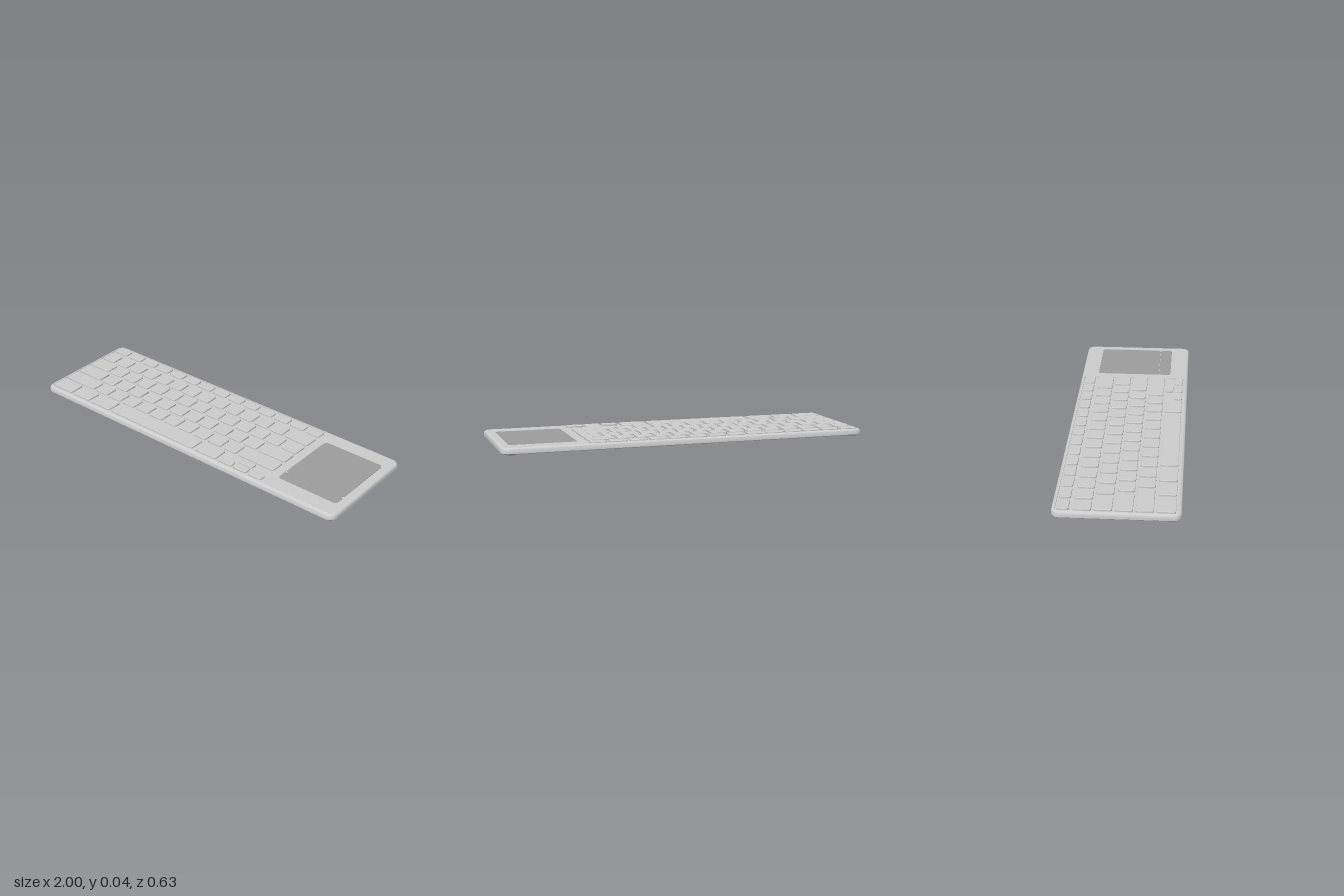
import * as THREE from 'three';
import { toCreasedNormals } from 'three/addons/utils/BufferGeometryUtils.js';

const grey = new THREE.MeshStandardMaterial({ color: 0xcccccc });
const padGrey = new THREE.MeshStandardMaterial({ color: 0x9c9c9c });
const footGrey = new THREE.MeshStandardMaterial({ color: 0x777777 });

const TOP = 0.038, BOTTOM = 0.006;

// Outline of a rounded rectangle, counter-clockwise, as [x, -z] points
function outline(x0, x1, z0, z1, r, seg = 6) {
  const pts = [];
  const corners = [[x1 - r, -z0 - r], [x0 + r, -z0 - r], [x0 + r, -z1 + r], [x1 - r, -z1 + r]];
  corners.forEach(([cx, cy], q) => {
    for (let i = 0; i <= seg; i++) {
      const a = (q + i / seg) * Math.PI / 2;
      pts.push(new THREE.Vector2(cx + r * Math.cos(a), cy + r * Math.sin(a)));
    }
  });
  return pts;
}

// Skin between stacked outlines: rings = [{ pts, y }], listed from low to high
function loft(rings) {
  const n = rings[0].pts.length, pos = [], idx = [];
  for (const { pts, y } of rings) for (const p of pts) pos.push(p.x, y, -p.y);
  for (let k = 0; k < rings.length - 1; k++) {
    for (let i = 0; i < n; i++) {
      const a = k * n + i, b = k * n + (i + 1) % n;
      idx.push(a, b, b + n, a, b + n, a + n);
    }
  }
  const g = new THREE.BufferGeometry();
  g.setAttribute('position', new THREE.Float32BufferAttribute(pos, 3));
  g.setIndex(idx);
  return toCreasedNormals(g, 0.6);
}

// Flat sheet at height y, facing up or down
function sheet(pts, y, holes = [], up = true) {
  const s = new THREE.Shape(pts);
  s.holes = holes.map(h => new THREE.Path(h));
  const g = new THREE.ShapeGeometry(s).rotateX(-Math.PI / 2);
  if (!up) g.rotateX(Math.PI);
  return g.translate(0, y, 0);
}

function add(parent, name, geometry, material = grey) {
  const m = new THREE.Mesh(geometry, material);
  m.name = name;
  parent.add(m);
  return m;
}

// Rounded slab with a small chamfer around its top
function slab(x0, x1, z0, z1, y0, y1, r, c) {
  const g = new THREE.Group();
  const base = outline(x0, x1, z0, z1, r, 4);
  const top = outline(x0 + c, x1 - c, z0 + c, z1 - c, r - c, 4);
  return { sides: loft([{ pts: base, y: y0 }, { pts: base, y: y1 - c }, { pts: top, y: y1 }]), cap: sheet(top, y1), group: g };
}

function addSlab(parent, name, material, ...dims) {
  const { sides, cap, group } = slab(...dims);
  group.name = name;
  add(group, name + 'Sides', sides, material);
  add(group, name + 'Top', cap, material);
  parent.add(group);
}

function createBody() {
  const body = new THREE.Group();
  body.name = 'body';
  const ring = (inset, y) => ({
    pts: outline(-1 + inset, 1 - inset, -0.315 + inset, 0.315 - inset, 0.045 - inset, 8), y,
  });
  // Straight sides with a rounded upper edge
  const rings = [ring(0.003, BOTTOM), ring(0, BOTTOM + 0.003)];
  const r = 0.017;
  for (let i = 0; i <= 6; i++) {
    const a = i / 6 * Math.PI / 2;
    rings.push(ring(r * (1 - Math.cos(a)), TOP - r + r * Math.sin(a)));
  }
  add(body, 'rim', loft(rings));
  add(body, 'underside', sheet(rings[0].pts, BOTTOM, [], false));

  // Deck with recesses for the keys and the touchpad
  const recesses = [
    ['keyWell', outline(-0.98, 0.541, -0.296, 0.291, 0.018), 0.033],
    ['touchpadWell', outline(0.59, 0.95, -0.22, 0.21, 0.02), 0.035],
  ];
  add(body, 'deck', sheet(rings[rings.length - 1].pts, TOP, recesses.map(w => w[1])));
  for (const [name, pts, y] of recesses) {
    add(body, name + 'Floor', sheet(pts, y));
    // Reversed outline makes the wall face inwards
    const inner = [...pts].reverse();
    add(body, name + 'Wall', loft([{ pts: inner, y }, { pts: inner, y: TOP }]));
  }
  return body;
}

function createKeys() {
  const keys = new THREE.Group();
  keys.name = 'keys';
  const left = -0.973, right = 0.535, gap = 0.0185;
  const key = (x0, x1, z0, z1) =>
    addSlab(keys, 'key', grey, x0, x1, z0, z1, 0.033, 0.043, 0.011, 0.002);

  // Rows: z range, first key width, number and width of regular keys; the last key fills the row
  const rows = [
    [-0.288, -0.23, 0.0909, 12, 0.0909],
    [-0.208, -0.122, 0.086, 12, 0.086],
    [-0.108, -0.022, 0.136, 12, 0.086],
    [-0.008, 0.078, 0.168, 11, 0.086],
    [0.092, 0.178, 0.214, 10, 0.086],
  ];
  for (const [z0, z1, first, count, width] of rows) {
    let x = left;
    for (const w of [first, ...Array(count).fill(width)]) {
      key(x, x + w, z0, z1);
      x += w + gap;
    }
    key(x, right, z0, z1);
  }

  // Bottom row with the space bar
  let x = left;
  for (const w of [0.142, 0.122, 0.142, 0.594, 0.142]) {
    key(x, x + w, 0.192, 0.285);
    x += w + 0.0165;
  }
  // Half-height arrow keys
  for (const ax of [0.256, 0.353, 0.45]) key(ax, ax + 0.085, 0.24, 0.285);
  key(0.353, 0.438, 0.188, 0.232);
  return keys;
}

export function createModel() {
  const model = new THREE.Group();
  model.name = 'keyboard';
  model.add(createBody(), createKeys());

  // Touchpad and its button strip
  addSlab(model, 'touchpad', padGrey, 0.592, 0.948, -0.218, 0.139, 0.035, 0.0375, 0.018, 0.001);
  addSlab(model, 'touchpadButton', padGrey, 0.592, 0.948, 0.141, 0.208, 0.035, 0.0375, 0.018, 0.001);

  // Four round feet
  for (const sx of [-1, 1]) {
    for (const sz of [-1, 1]) {
      add(model, 'foot', new THREE.CylinderGeometry(0.031, 0.029, 0.007, 32), footGrey)
        .position.set(sx * 0.95, 0.0035, sz * 0.27);
    }
  }
  return model;
}
